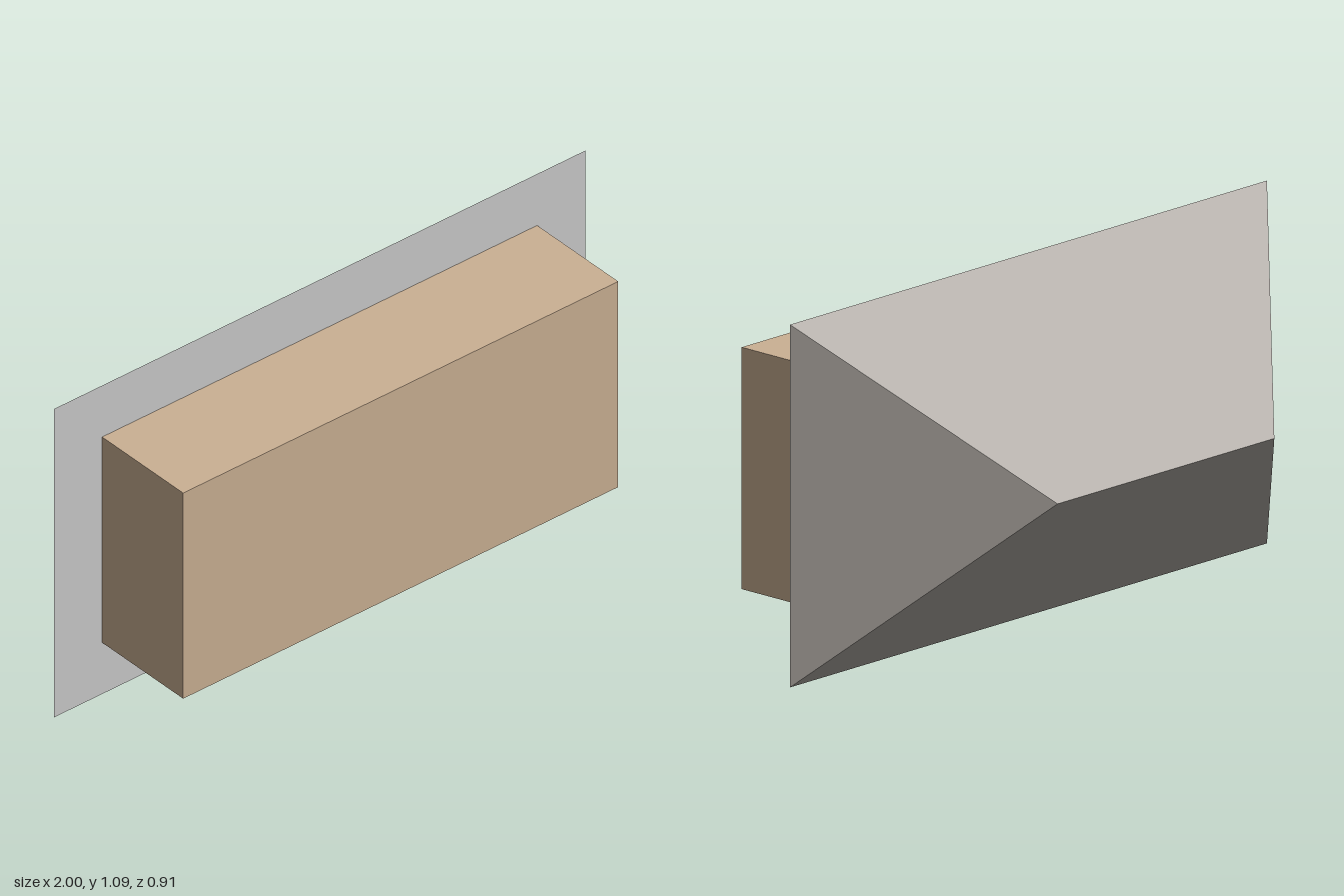
import * as THREE from 'three';

const U = 1 / 11; // base module: the eaves are 22 x 12 modules

function add(group, name, geometry, color) {
  const mesh = new THREE.Mesh(
    geometry,
    new THREE.MeshStandardMaterial({ color, flatShading: true })
  );
  mesh.name = name;
  group.add(mesh);
  return mesh;
}

// Hip roof with its eaves at z = 0 and its ridge at z = -depth
function hipRoof(halfWidth, halfHeight, depth, halfRidge) {
  const a = [-halfWidth, -halfHeight, 0];
  const b = [halfWidth, -halfHeight, 0];
  const c = [halfWidth, halfHeight, 0];
  const d = [-halfWidth, halfHeight, 0];
  const l = [-halfRidge, 0, -depth];
  const r = [halfRidge, 0, -depth];
  const triangles = [
    d, c, r, d, r, l, // upper slope
    b, a, l, b, l, r, // lower slope
    c, b, r,          // left hip
    a, d, l,          // right hip
  ];
  const geometry = new THREE.BufferGeometry();
  geometry.setAttribute('position', new THREE.Float32BufferAttribute(triangles.flat(), 3));
  geometry.computeVertexNormals();
  return geometry;
}

export function createModel() {
  const house = new THREE.Group();
  house.name = 'house';

  // Walls: a plain block reaching forward from the eaves
  const walls = add(house, 'walls', new THREE.BoxGeometry(18 * U, 8 * U, 4 * U), 0xcbb194);
  walls.position.set(0, 6 * U, 3 * U);

  // Roof: four slopes rising to a ridge at the back
  const roof = add(house, 'roof', hipRoof(11 * U, 6 * U, 6 * U, 5 * U), 0xb0aba5);
  roof.position.set(0, 6 * U, U);

  // Flat underside of the eaves
  const eaves = add(house, 'eavesUnderside', new THREE.PlaneGeometry(22 * U, 12 * U), 0xcccccc);
  eaves.position.set(0, 6 * U, U);

  return house;
}
